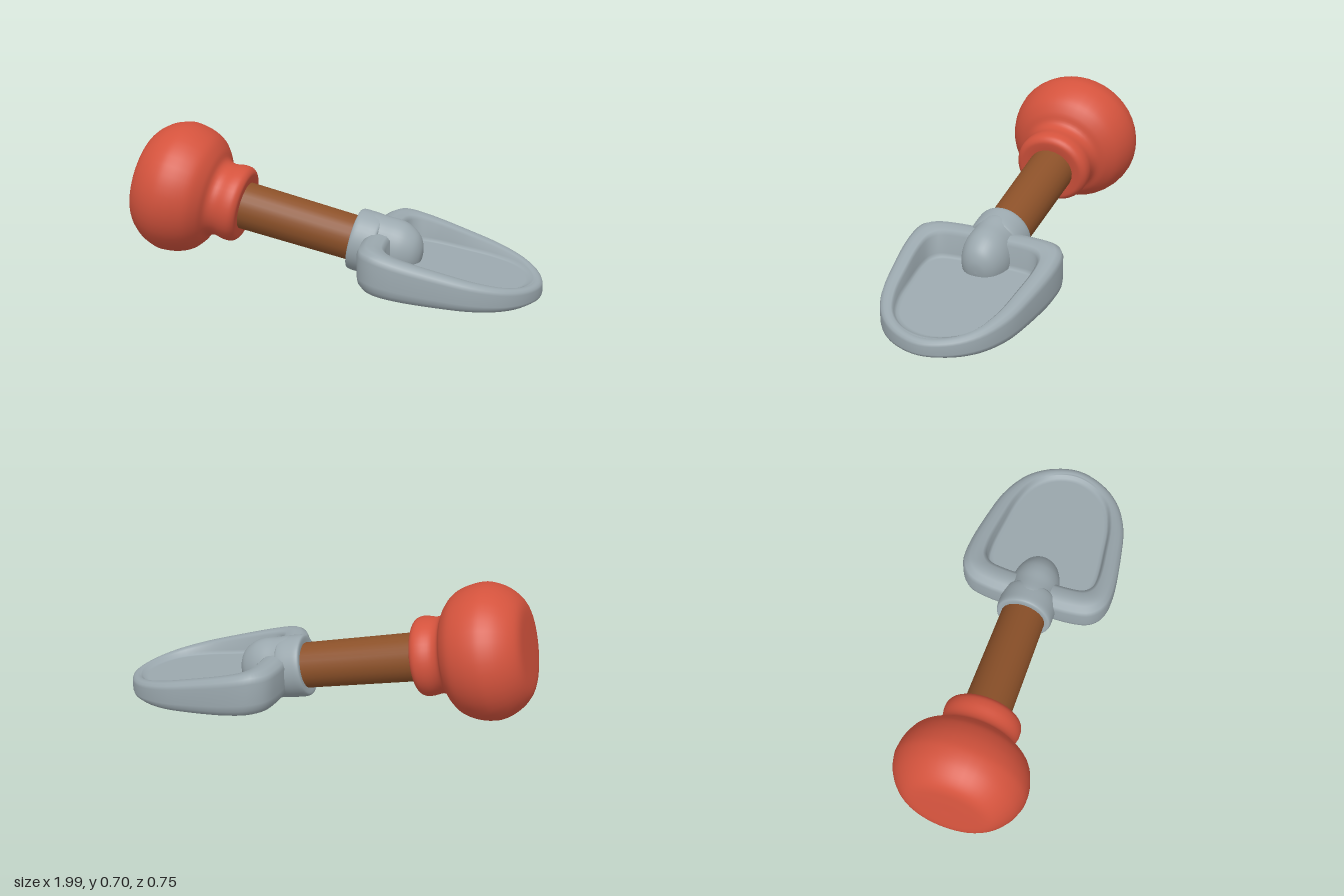
import * as THREE from 'three';

const red = new THREE.MeshStandardMaterial({ name: 'gripRed', color: 0xd4533d });
const wood = new THREE.MeshStandardMaterial({ name: 'woodBrown', color: 0x8c5129 });
const steel = new THREE.MeshStandardMaterial({ name: 'steelGrey', color: 0x9ba8ae });

// Smooth turned part; profile pairs are [radius, distance along the shaft]
function turned(name, profile, material, depth = 1) {
  const curve = new THREE.SplineCurve(profile.map(([r, s]) => new THREE.Vector2(r, s)));
  const points = curve.getPoints(profile.length * 4).map(p => p.setX(Math.max(p.x, 0)));
  const mesh = new THREE.Mesh(new THREE.LatheGeometry(points, 40), material);
  mesh.name = name;
  mesh.scale.z = depth;
  return mesh;
}

// Closed symmetric outline in (x, z) from a half outline running tip to back
function outline(half) {
  const mirrored = half.slice(1, -1).reverse().map(([x, z]) => [x, -z]);
  return new THREE.CatmullRomCurve3(
    [...half, ...mirrored].map(([x, z]) => new THREE.Vector3(x, 0, z)), true);
}

// Hollow scoop: rings go from under the middle, up the wall, over the rim, to the floor
function scoopGeometry() {
  const outer = outline([[0.995, 0], [0.96, 0.13], [0.88, 0.235], [0.75, 0.31], [0.58, 0.35],
    [0.36, 0.376], [0.26, 0.362], [0.2, 0.31], [0.175, 0.2], [0.175, 0]]);
  const inner = outline([[0.955, 0], [0.925, 0.11], [0.85, 0.195], [0.73, 0.245], [0.58, 0.268],
    [0.42, 0.282], [0.35, 0.272], [0.315, 0.24], [0.3, 0.16], [0.3, 0]]);
  const bottom = x => 0.065 * Math.pow(Math.max(0, (1 - x) / 0.81), 1.5);
  const top = x => Math.min(0.272, 0.262 - (x - 0.3) * 0.262);
  const floor = x => 0.14 - (x - 0.3) * 0.1;
  const wall = t => x => bottom(x) + (top(x) - bottom(x)) * t;
  // [blend from outer to inner outline, scale about the middle, height rule]
  const rings = [
    [0, 0.002, bottom], [0, 0.5, bottom], [0, 0.84, bottom], [0, 0.95, wall(0.06)],
    [0, 0.99, wall(0.18)], [0, 1, wall(0.32)], [0, 1, wall(0.8)], [0.08, 1, wall(0.92)],
    [0.3, 1, wall(0.99)], [0.55, 1, wall(1)], [0.85, 1, wall(0.98)], [1, 1, wall(0.92)],
    [1, 0.985, x => floor(x) + 0.015], [1, 0.95, floor], [1, 0.9, floor], [1, 0.002, floor],
  ];
  const n = 80, mid = 0.58, position = [], index = [];
  rings.forEach(([blend, scale, height], k) => {
    for (let i = 0; i < n; i++) {
      const p = outer.getPoint(i / n).lerp(inner.getPoint(i / n), blend);
      const x = mid + (p.x - mid) * scale;
      position.push(x, height(x), p.z * scale);
      if (k === rings.length - 1) continue;
      const a = k * n + i, b = k * n + (i + 1) % n;
      index.push(a, a + n, b, b, a + n, b + n);
    }
  });
  const geometry = new THREE.BufferGeometry();
  geometry.setAttribute('position', new THREE.Float32BufferAttribute(position, 3));
  geometry.setIndex(index);
  geometry.computeVertexNormals();
  return geometry;
}

export function createModel() {
  const model = new THREE.Group();
  model.name = 'shovel';

  // Everything turned around the sloping shaft
  const handle = new THREE.Group();
  handle.name = 'handle';
  handle.position.set(0, 0.227, 0);
  handle.rotation.z = -Math.PI / 2 - 0.2;
  model.add(handle);

  // Round knob flowing into its collar
  handle.add(turned('knob', [[0, -0.98], [0.1, -0.98], [0.19, -0.975], [0.245, -0.945],
    [0.29, -0.89], [0.314, -0.83], [0.318, -0.78], [0.307, -0.72], [0.28, -0.66],
    [0.235, -0.618], [0.192, -0.595], [0.178, -0.56], [0.186, -0.51], [0.183, -0.475],
    [0.165, -0.455], [0.14, -0.452], [0.1, -0.455]], red));

  // Wooden shaft
  const shaft = new THREE.Mesh(new THREE.CylinderGeometry(0.108, 0.115, 0.64, 24), wood);
  shaft.name = 'shaft';
  shaft.position.y = -0.16;
  handle.add(shaft);

  // Socket ring and the rounded socket running into the scoop
  handle.add(turned('socketRing', [[0.095, 0.105], [0.135, 0.1], [0.148, 0.112], [0.15, 0.15],
    [0.148, 0.2], [0.138, 0.222], [0.1, 0.225]], steel, 0.92));
  handle.add(turned('socket', [[0.1, 0.15], [0.147, 0.16], [0.149, 0.24], [0.15, 0.3],
    [0.138, 0.35], [0.105, 0.4], [0.055, 0.428], [0, 0.435]], steel, 0.78));

  // Scoop
  const scoop = new THREE.Mesh(scoopGeometry(), steel);
  scoop.name = 'scoop';
  model.add(scoop);

  return model;
}
